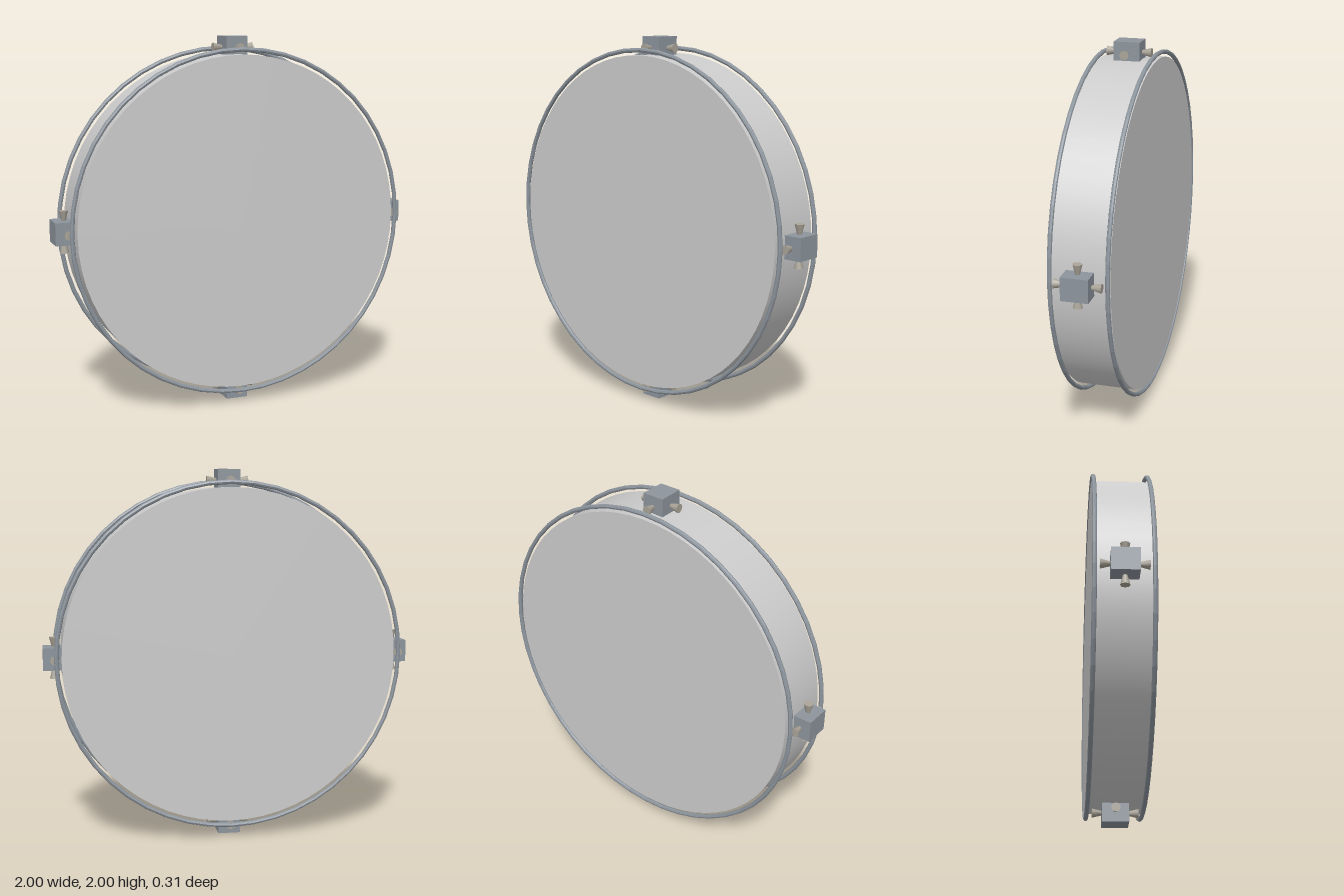
import * as THREE from 'three';

const R = 0.905, HALF = 0.152, LUG_R = 0.94;

export function createModel() {
  const group = new THREE.Group();
  const shellMat = new THREE.MeshStandardMaterial({ color: 0xcccccc });
  const metalMat = new THREE.MeshStandardMaterial({ color: 0x8c949c });
  const knobMat = new THREE.MeshStandardMaterial({ color: 0xaaa498 });
  metalMat.flatShading = true;

  const add = (parent, name, geometry, material) => {
    const mesh = new THREE.Mesh(geometry, material);
    mesh.name = name;
    parent.add(mesh);
    return mesh;
  };

  // Everything turns around the drum's axis, one unit above the floor
  const drum = new THREE.Group();
  drum.name = 'drum';
  drum.position.y = 1;
  group.add(drum);

  // Round shell, closed by a flat head at each end
  const shellGeo = new THREE.CylinderGeometry(R, R, HALF * 2, 64);
  shellGeo.rotateX(Math.PI / 2);
  add(drum, 'shellAndHeads', shellGeo, shellMat);

  // Thin hoops standing just off the rims
  const hoopGeo = new THREE.TorusGeometry(0.932, 0.012, 8, 48);
  for (const s of [1, -1]) {
    add(drum, s > 0 ? 'frontHoop' : 'backHoop', hoopGeo, metalMat).position.z = s * 0.145;
  }

  // Four lug blocks, each with four flared knobs
  const blockGeo = new THREE.BoxGeometry(0.12, 0.12, 0.14);
  const knobGeo = new THREE.CylinderGeometry(0.025, 0.01, 0.06, 8);
  for (let i = 0; i < 4; i++) {
    const lug = new THREE.Group();
    lug.name = 'lug' + (i + 1);
    const a = i * Math.PI / 2;
    lug.position.set(Math.sin(a) * LUG_R, Math.cos(a) * LUG_R, 0);
    lug.rotation.z = -a;
    add(lug, 'lugBlock', blockGeo, metalMat);
    for (const s of [1, -1]) {
      const side = add(lug, 'sideKnob', knobGeo, knobMat);
      side.position.x = s * 0.082;
      side.rotation.z = -s * Math.PI / 2;
      const end = add(lug, 'endKnob', knobGeo, knobMat);
      end.position.z = s * 0.09;
      end.rotation.x = s * Math.PI / 2;
    }
    drum.add(lug);
  }
  return group;
}
